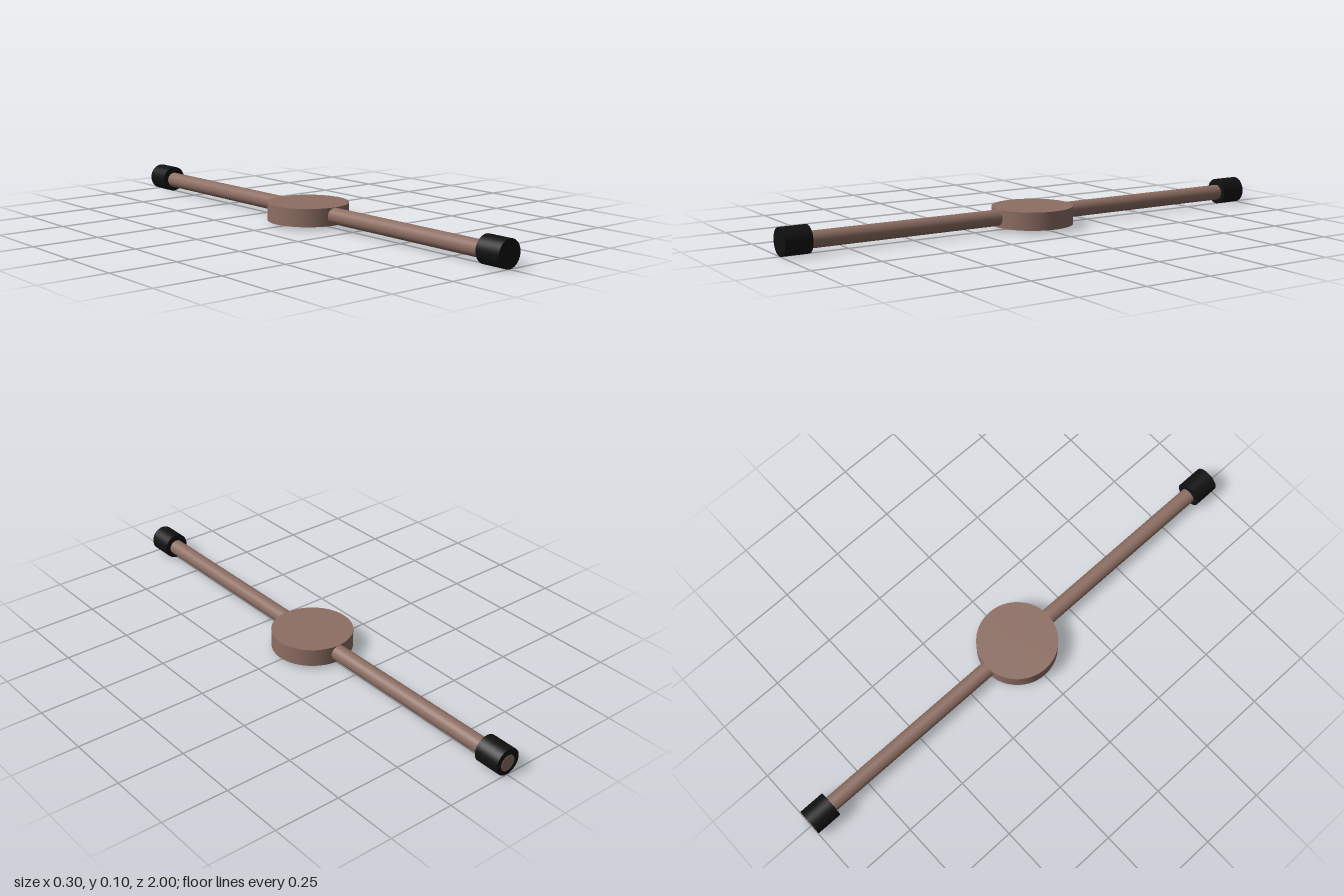
import * as THREE from 'three';

export function createModel() {
  const model = new THREE.Group();
  const brown = new THREE.MeshStandardMaterial({ color: 0x8d6e63 });
  brown.name = 'brown';
  const black = new THREE.MeshStandardMaterial({ color: 0x111111 });
  black.name = 'black';

  // Solid cylinder lying along z between two depths
  function rodAlongZ(name, radius, y, z0, z1, material) {
    const geometry = new THREE.CylinderGeometry(radius, radius, z1 - z0, 48).rotateX(Math.PI / 2);
    const mesh = new THREE.Mesh(geometry, material);
    mesh.name = name;
    mesh.position.set(0, y, (z0 + z1) / 2);
    model.add(mesh);
  }

  // Central disc
  const hub = new THREE.Mesh(new THREE.CylinderGeometry(0.152, 0.152, 0.067, 64), brown);
  hub.name = 'hub';
  hub.position.y = 0.0435;
  model.add(hub);

  // Arms: the rear one runs through its grip and shows at the end
  rodAlongZ('frontArm', 0.03, 0.046, 0, 0.95, brown);
  rodAlongZ('backArm', 0.03, 0.046, -1, 0, brown);

  // End grips
  rodAlongZ('frontGrip', 0.05, 0.05, 0.9, 1, black);
  rodAlongZ('backGrip', 0.05, 0.05, -0.999, -0.9, black);

  return model;
}
